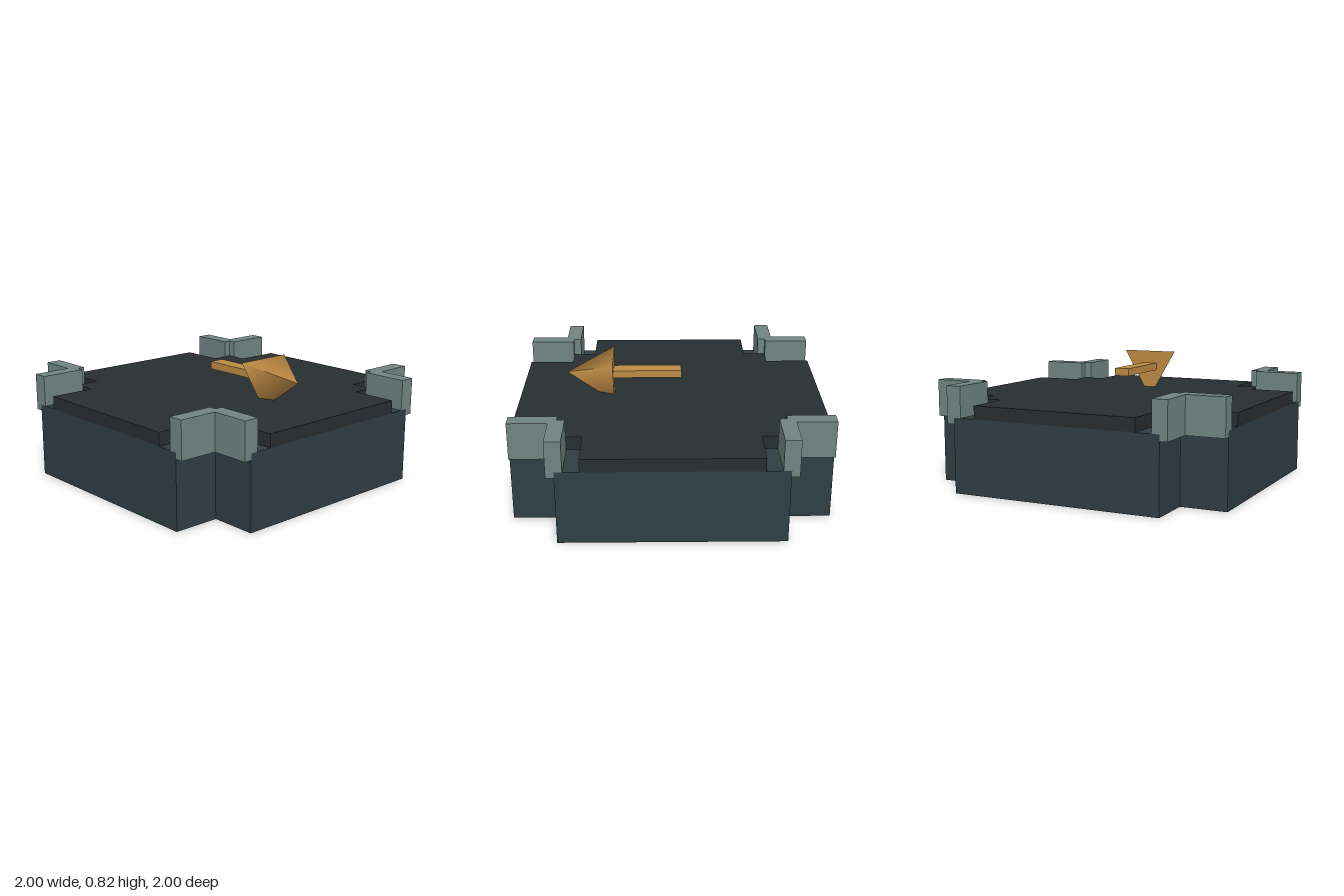
import * as THREE from 'three';

const paint = (color, flatShading = true) => new THREE.MeshStandardMaterial({ color, flatShading });

// Stands a flat outline up between two heights
function prism(name, points, y0, y1, material) {
  const shape = new THREE.Shape(points.map(([x, y]) => new THREE.Vector2(x, y)));
  const geometry = new THREE.ExtrudeGeometry(shape, { depth: y1 - y0, bevelEnabled: false });
  geometry.rotateX(-Math.PI / 2).translate(0, y0, 0);
  const mesh = new THREE.Mesh(geometry, material);
  mesh.name = name;
  return mesh;
}

// Repeats one corner's outline around all four quarters
function fourfold(corner) {
  const points = [];
  for (let q = 0; q < 4; q++) {
    for (const [x, y] of corner) {
      points.push([[x, y], [-y, x], [-x, -y], [y, -x]][q]);
    }
  }
  return points;
}

export function createModel() {
  const model = new THREE.Group();
  model.name = 'arrowTile';
  const baseColor = paint(0x2f3e44);
  const plateColor = paint(0x272f30);
  const bracketColor = paint(0x708481);
  const arrowColor = paint(0xbd8a45);

  // Cross-shaped base and the thinner plate on top
  model.add(prism('base', fourfold([[1, 0.7], [0.7, 0.7], [0.7, 1]]), 0, 0.48, baseColor));
  model.add(prism('topPlate',
    fourfold([[1, 0.55], [0.7, 0.55], [0.7, 0.7], [0.55, 0.7], [0.55, 1]]), 0.48, 0.565, plateColor));

  // L-shaped corner brackets with a lip hanging over the base's notch
  const wall = [[1, 0.65], [1, 0.75], [0.75, 0.75], [0.75, 1], [0.65, 1], [0.65, 0.7], [0.7, 0.7], [0.7, 0.65]];
  const lip = [[1, 0.7], [1, 0.75], [0.75, 0.75], [0.75, 1], [0.7, 1], [0.7, 0.7]];
  for (let i = 0; i < 4; i++) {
    const bracket = new THREE.Group();
    bracket.name = 'cornerBracket';
    bracket.add(prism('bracketWall', wall, 0.48, 0.68, bracketColor));
    bracket.add(prism('bracketLip', lip, 0.44, 0.48, bracketColor));
    bracket.rotation.y = i * Math.PI / 2;
    model.add(bracket);
  }

  // Floating arrow: flat shaft and three-sided head pointing to +x
  const arrow = new THREE.Group();
  arrow.name = 'arrow';
  arrow.position.y = 0.71;
  const shaft = new THREE.Mesh(new THREE.BoxGeometry(0.45, 0.05, 0.1), arrowColor);
  shaft.name = 'arrowShaft';
  shaft.position.x = 0.155;
  const headGeometry = new THREE.ConeGeometry(0.22, 0.31, 3, 1, false, Math.PI / 2);
  headGeometry.rotateZ(-Math.PI / 2);
  const head = new THREE.Mesh(headGeometry, paint(0xbd8a45, false));
  head.name = 'arrowHead';
  head.position.x = 0.535;
  arrow.add(shaft, head);
  model.add(arrow);

  return model;
}
